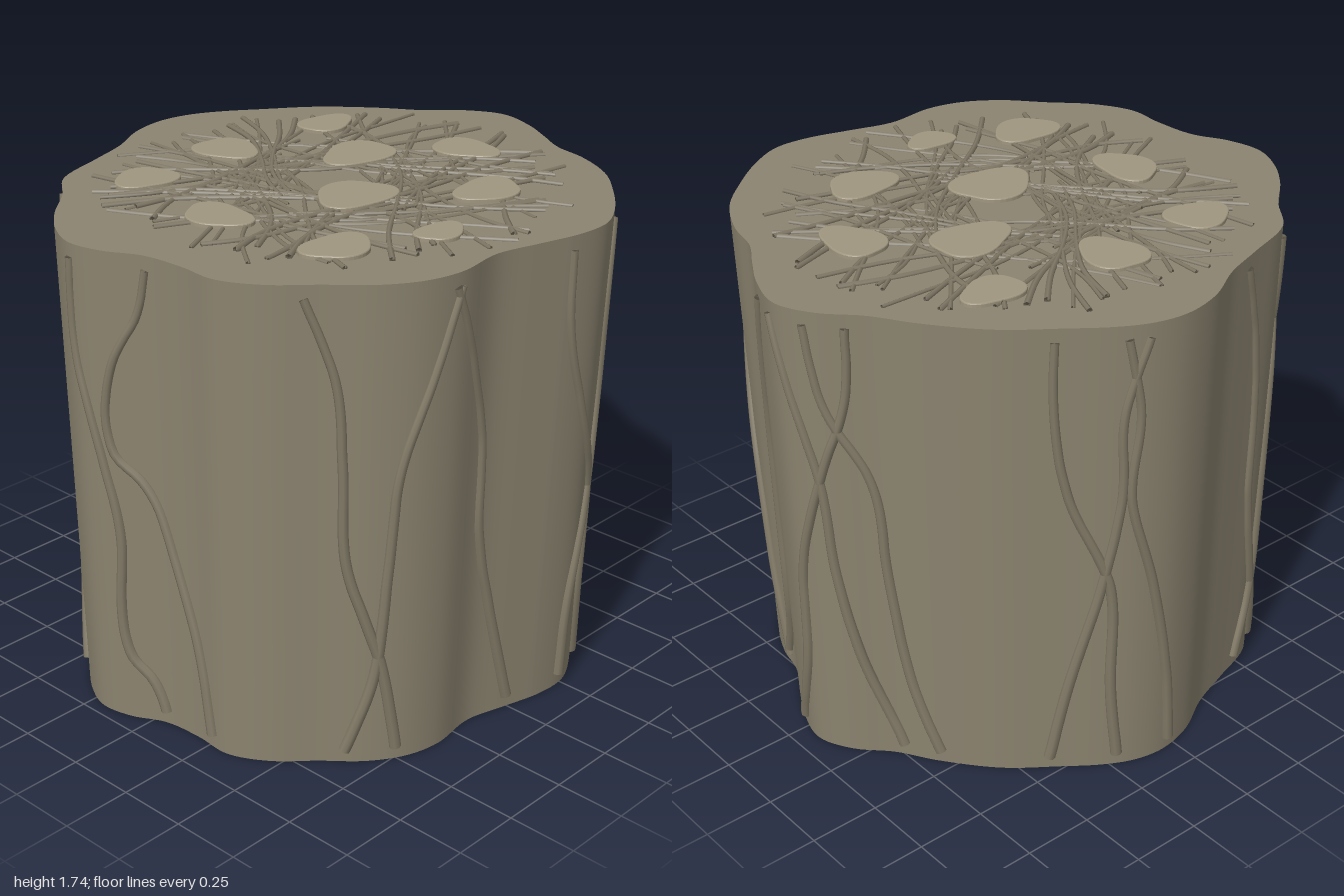
import * as THREE from 'three';

const TOP = 1.72;
const V3 = (x, y, z) => new THREE.Vector3(x, y, z);
const mat = (color) => new THREE.MeshStandardMaterial({ color });
const barkMat = mat(0x8c8470), veinMat = mat(0x837b68), fibreMat = mat(0x7f7765), stoneMat = mat(0xa0967f);

// Wavy rim of the trunk as x, z pairs, from +x round past -z
const rim = [
  0.995, -0.07, 0.94, -0.2, 0.83, -0.32, 0.74, -0.46, 0.59, -0.64, 0.43, -0.765, 0.3, -0.86, 0.19, -0.915,
  0.07, -0.935, -0.075, -0.905, -0.235, -0.82, -0.395, -0.765, -0.6, -0.69, -0.715, -0.56, -0.85, -0.44,
  -0.945, -0.32, -0.995, -0.2, -0.975, -0.07, -0.915, 0.055, -0.9, 0.215, -0.905, 0.36, -0.835, 0.5,
  -0.715, 0.625, -0.6, 0.75, -0.475, 0.83, -0.34, 0.86, -0.155, 0.84, 0.005, 0.88, 0.165, 0.92, 0.3, 0.92,
  0.43, 0.855, 0.57, 0.745, 0.7, 0.615, 0.785, 0.455, 0.82, 0.32, 0.89, 0.2, 0.955, 0.08,
];
const rimCurve = new THREE.CatmullRomCurve3(
  Array.from({ length: rim.length / 2 }, (_, i) => V3(rim[2 * i], 0, rim[2 * i + 1])), true);
const rimPoints = Array.from({ length: 3000 }, (_, i) => rimCurve.getPoint(i / 3000));

// The trunk narrows slightly towards its foot
const taper = (p, y) => {
  const k = 1 - y / TOP;
  return V3(p.x * (1 - 0.055 * k) - 0.015 * k, y, p.z * (1 - 0.055 * k) - 0.01 * k);
};

function makeTrunk() {
  const geo = new THREE.CylinderGeometry(1, 1, TOP, 216, 6);
  const pos = geo.attributes.position;
  for (let i = 0; i < pos.count; i++) {
    const x = pos.getX(i), z = pos.getZ(i), y = pos.getY(i) + TOP / 2;
    if (Math.hypot(x, z) < 0.5) { pos.setXYZ(i, 0, y, 0); continue; }
    const t = (Math.atan2(x, z) / (2 * Math.PI) + 1.75) % 1;
    const p = taper(rimCurve.getPoint(t), y);
    pos.setXYZ(i, p.x, y, p.z);
  }
  geo.computeVertexNormals();
  return new THREE.Mesh(geo, barkMat);
}

// Tube whose radius runs from r0 to r1, with flat closed ends
function taperedTube(points, r0, r1, segs, sides) {
  const curve = new THREE.CatmullRomCurve3(points);
  const geo = new THREE.TubeGeometry(curve, segs, 1, sides);
  const pos = geo.attributes.position, p = V3(0, 0, 0);
  for (let i = 0; i <= segs; i++) {
    const end = i === 0 || i === segs;
    const c = curve.getPointAt(i / segs);
    const anchor = curve.getPointAt(Math.min(Math.max(i, 1), segs - 1) / segs);
    const r = end ? 0 : r0 + (r1 - r0) * i / segs;
    for (let j = 0; j <= sides; j++) {
      const k = i * (sides + 1) + j;
      p.fromBufferAttribute(pos, k).sub(c).multiplyScalar(r).add(anchor);
      pos.setXYZ(k, p.x, p.y, p.z);
    }
  }
  return geo;
}

// Bark veins: facing angle, then sideways offset at each height from foot to top
const heights = [0.02, 0.35, 0.75, 1.1, 1.4, 1.7];
const veins = [
  [0, [-0.5, -0.55, -0.645, -0.66, -0.68, -0.76]],
  [0, [-0.64, -0.57, -0.545, -0.52, -0.43, -0.33]],
  [0, [0, -0.08, -0.165, -0.18, -0.26, -0.37]],
  [0, [0.395, 0.35, 0.35, 0.23, 0.15, 0.14]],
  [0, [0.23, 0.25, 0.35, 0.42, 0.43, 0.475]],
  [0, [0.75, 0.745, 0.72, 0.66, 0.61, 0.61]],
  [90, [-0.355, -0.25, -0.225, -0.2, -0.14, -0.065]],
  [90, [0.35, 0.26, 0.2, 0.175, 0.105, 0.025]],
  [90, [-0.02, 0.065, 0.09, 0.175, 0.255, 0.27]],
  [90, [0.46, 0.375, 0.33, 0.305, 0.2, 0.16]],
  [140, [0.37, 0.34, 0.33, 0.19, 0.14, 0.14]],
  [140, [0.135, 0.2, 0.3, 0.36, 0.36, 0.44]],
  [140, [0.55, 0.53, 0.47, 0.39, 0.41, 0.36]],
  [215, [0.15, 0.06, -0.02, -0.03, -0.07, -0.16]],
  [215, [-0.03, 0.07, 0.1, 0.13, 0.2, 0.265]],
  [215, [0.45, 0.35, 0.32, 0.25, 0.17, 0.11]],
  [215, [0.75, 0.73, 0.74, 0.72, 0.69, 0.7]],
  [215, [0.87, 0.84, 0.78, 0.74, 0.76, 0.785]],
];

function makeVein([deg, offsets]) {
  const s = Math.sin(deg * Math.PI / 180), c = Math.cos(deg * Math.PI / 180);
  const course = new THREE.CatmullRomCurve3(offsets.map((u, i) => V3(u, heights[i], 0)));
  const points = course.getPoints(22).map(({ x: u, y }) => {
    let best = null, bestGap = Infinity;
    for (const q of rimPoints) {
      if (q.x * s + q.z * c < 0.05) continue;
      const p = taper(q, y), gap = Math.abs(p.x * c - p.z * s - u);
      if (gap < bestGap) { bestGap = gap; best = p; }
    }
    return best;
  });
  return new THREE.Mesh(taperedTube(points, 0.021, 0.014, 60, 8), veinMat);
}

// Small seeded generator for the fibres
function seeded(seed) {
  return () => (seed = (seed * 16807) % 2147483647) / 2147483647;
}

// Fine fibres run inwards from near the rim and cross round the middle
function makeFibres() {
  const group = new THREE.Group(), rand = seeded(4127), count = 84;
  for (let i = 0; i < count; i++) {
    const a = (Math.floor(i / 3) * 3 + 1.5 + (rand() - 0.5) * 3.4) / count * 2 * Math.PI;
    const r = 0.72 + 0.15 * rand();
    const b = a + (rand() < 0.5 ? -1 : 1) * (1.2 + 1.3 * rand()), r2 = 0.2 + 0.3 * rand();
    const start = V3(r * Math.cos(a), 0, r * Math.sin(a)), end = V3(r2 * Math.cos(b), 0, r2 * Math.sin(b));
    const side = V3(start.z - end.z, 0, end.x - start.x).normalize();
    const bend = (rand() - 0.5) * 0.14, wave = (rand() - 0.5) * 0.07, y = TOP + 0.004 * rand();
    const points = [0, 0.25, 0.5, 0.75, 1].map((t) => start.clone().lerp(end, t)
      .addScaledVector(side, bend * Math.sin(Math.PI * t) + wave * Math.sin(2 * Math.PI * t)).setY(y));
    const mesh = new THREE.Mesh(taperedTube(points, 0.007 + 0.005 * rand(), 0.007, 22, 6), fibreMat);
    mesh.name = 'topFibre';
    group.add(mesh);
  }
  return group;
}

// Flat pebbles: x, z, half width, half depth, direction of the narrow end
const stones = [
  [-0.43, -0.465, 0.118, 0.1, 50], [-0.02, -0.495, 0.105, 0.13, 95], [0.44, -0.45, 0.115, 0.088, 110],
  [0.26, -0.125, 0.15, 0.115, 175], [-0.52, -0.02, 0.1, 0.13, 70], [-0.07, 0.165, 0.155, 0.122, -80],
  [0.56, 0.11, 0.098, 0.13, 80], [-0.465, 0.455, 0.128, 0.102, 95], [-0.145, 0.6, 0.095, 0.072, 100],
  [0.27, 0.45, 0.133, 0.103, 80],
];

function makeStone([x, z, w, d, deg], i) {
  const bevel = 0.005, phi = deg * Math.PI / 180;
  const outline = Array.from({ length: 48 }, (_, k) => {
    const a = k / 48 * 2 * Math.PI;
    const r = 0.97 + 0.1 * Math.cos(3 * (a - phi)) + 0.03 * Math.sin(2 * a + i);
    return new THREE.Vector2((w - bevel) * r * Math.cos(a), -(d - bevel) * r * Math.sin(a));
  });
  const geo = new THREE.ExtrudeGeometry(new THREE.Shape(outline.reverse()),
    { depth: 0.02, bevelEnabled: true, bevelSize: bevel, bevelThickness: 0.004, bevelSegments: 2 });
  geo.rotateX(-Math.PI / 2);
  const mesh = new THREE.Mesh(geo, stoneMat);
  mesh.position.set(x, TOP - 0.009, z);
  return mesh;
}

export function createModel() {
  const model = new THREE.Group();
  const add = (object, name) => { object.name = name; model.add(object); };
  add(makeTrunk(), 'trunk');
  veins.forEach((v) => add(makeVein(v), 'barkVein'));
  add(makeFibres(), 'topFibres');
  stones.forEach((s, i) => add(makeStone(s, i), 'topStone'));
  return model;
}
